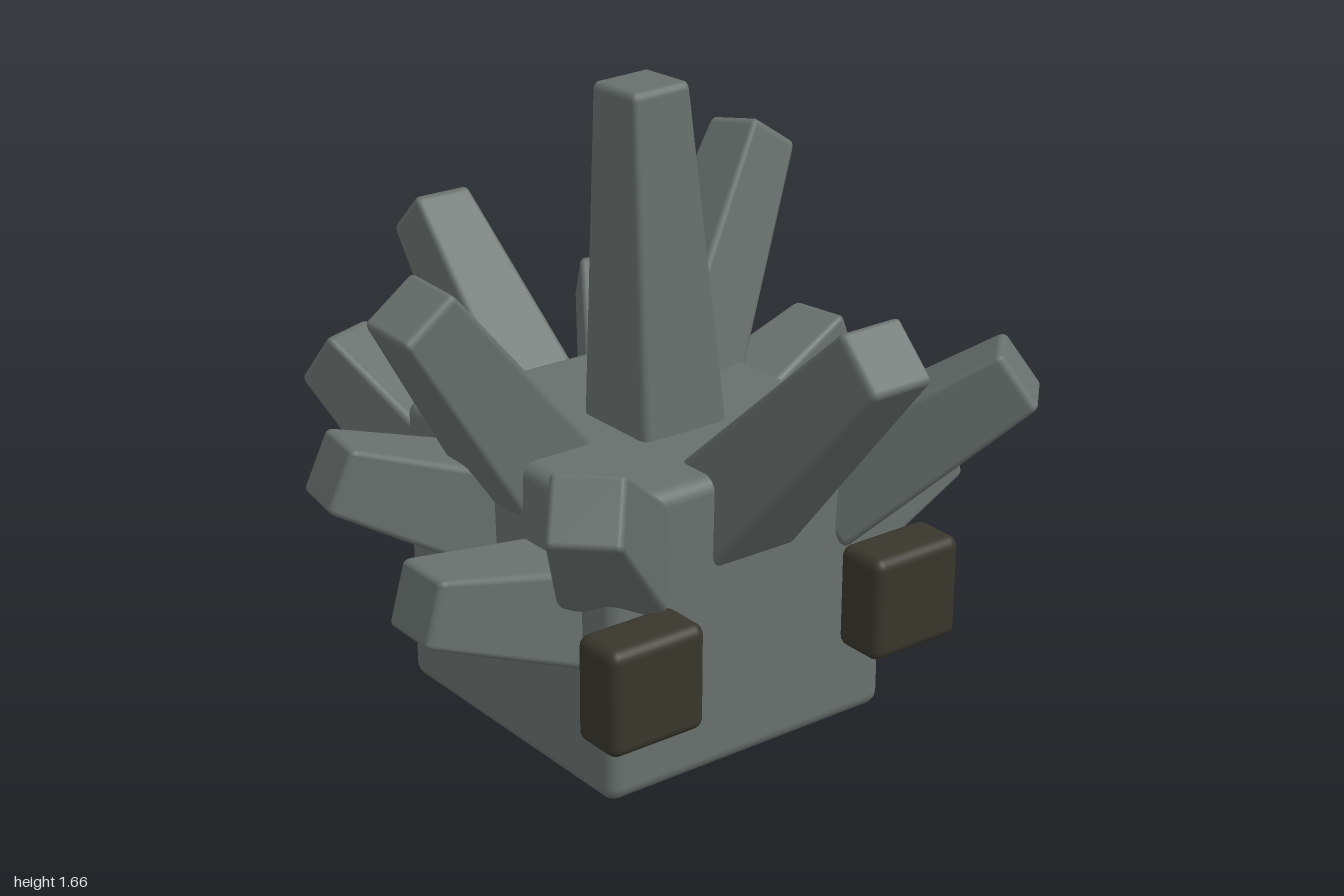
import * as THREE from 'three';
import { RoundedBoxGeometry } from 'three/addons/geometries/RoundedBoxGeometry.js';

const BASE = 0.27, TIP = 0.17;

// Tapered, softly bevelled box running from base to tip; `side` hints its width direction
function spike(name, base, tip, material, side) {
  const a = new THREE.Vector3(...base), b = new THREE.Vector3(...tip);
  const axis = b.clone().sub(a).normalize();
  const length = a.distanceTo(b);
  const geometry = new RoundedBoxGeometry(BASE, length, BASE, 2, 0.022);
  const p = geometry.attributes.position;
  for (let i = 0; i < p.count; i++) {
    const s = THREE.MathUtils.lerp(1, TIP / BASE, p.getY(i) / length + 0.5);
    p.setX(i, p.getX(i) * s);
    p.setZ(i, p.getZ(i) * s);
  }
  // By default the width stays level
  const width = side ? new THREE.Vector3(...side) : new THREE.Vector3(axis.z, 0, -axis.x);
  width.addScaledVector(axis, -width.dot(axis)).normalize();
  const depth = new THREE.Vector3().crossVectors(width, axis);
  const mesh = new THREE.Mesh(geometry, material);
  mesh.name = name;
  mesh.quaternion.setFromRotationMatrix(new THREE.Matrix4().makeBasis(width, axis, depth));
  mesh.position.copy(a).add(b).multiplyScalar(0.5);
  return mesh;
}

function block(name, size, position, radius, material) {
  const mesh = new THREE.Mesh(new RoundedBoxGeometry(...size, 3, radius), material);
  mesh.name = name;
  mesh.position.set(...position);
  return mesh;
}

export function createModel() {
  const group = new THREE.Group();
  group.name = 'spikyCreature';
  const stone = new THREE.MeshStandardMaterial({ color: 0x68706d });
  stone.name = 'stone grey';
  const dark = new THREE.MeshStandardMaterial({ color: 0x38362c });
  dark.name = 'dark brown';

  // Body
  group.add(block('body', [0.88, 0.79, 0.885], [0, 0.395, 0.02], 0.04, stone));

  // Eyes in front of the body
  for (const [name, x] of [['leftEye', 0.408], ['rightEye', -0.408]]) {
    group.add(block(name, [0.28, 0.28, 0.15], [x, 0.37, 0.545], 0.03, dark));
  }

  // Upright, front and back spikes
  const X = [1, 0, 0], Z = [0, 0, 1];
  group.add(
    spike('topSpike', [0.005, 0.72, 0.062], [-0.027, 1.66, 0.04], stone, X),
    spike('frontSpike', [0.005, 0.62, 0.34], [-0.025, 1.228, 0.945], stone, X),
    spike('backSpike', [-0.01, 0.5, -0.35], [-0.01, 1.09, -0.94], stone, X),
    spike('upperRightSpike', [-0.31, 0.69, -0.025], [-0.703, 1.225, 0.035], stone, Z),
    spike('upperLeftSpike', [0.235, 0.71, -0.19], [0.65, 1.33, -0.35], stone, Z),
    spike('frontRightSpike', [-0.33, 0.59, 0.34], [-0.715, 0.97, 0.75], stone),
    spike('frontLeftSpike', [0.32, 0.6, 0.33], [0.66, 0.955, 0.69], stone),
    spike('backRightSpike', [-0.25, 0.48, -0.37], [-0.415, 0.805, -0.805], stone),
    spike('backLeftSpike', [0.26, 0.5, -0.37], [0.468, 0.845, -0.77], stone)
  );

  // Paired side spikes
  for (const [label, s] of [['left', 1], ['right', -1]]) {
    group.add(
      spike(label + 'LowerSideSpike', [s * 0.37, 0.445, 0.225], [s * 0.83, 0.573, 0.222], stone),
      spike(label + 'RearSideSpike', [s * 0.37, 0.57, -0.13], [s * 0.803, 0.76, -0.2], stone)
    );
  }
  return group;
}
